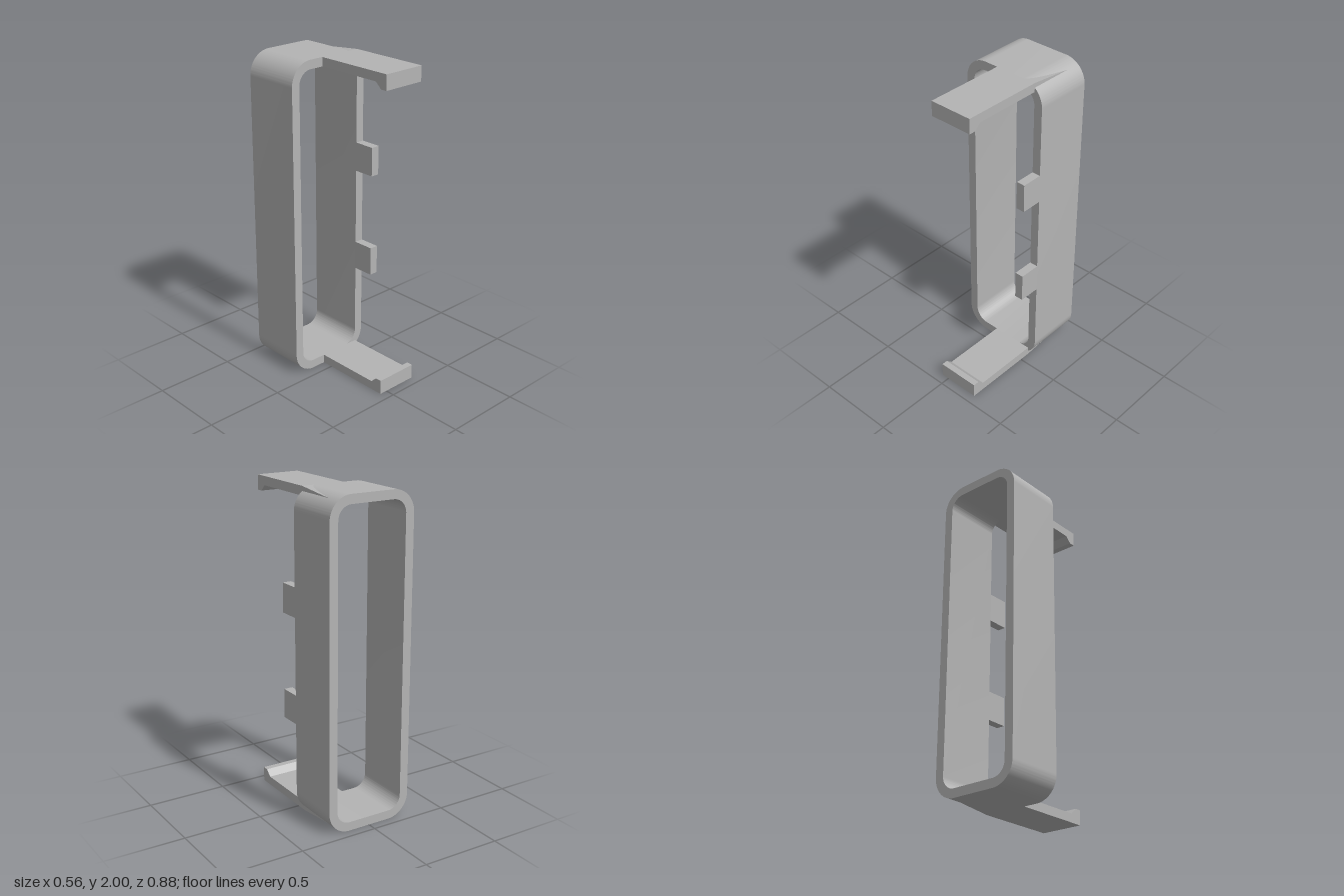
import * as THREE from 'three';
import { toCreasedNormals } from 'three/addons/utils/BufferGeometryUtils.js';

const HALF_W = 0.28, HEIGHT = 2, WALL = 0.055, CORNER = 0.14;
const BACK = -0.44, RIM = -0.07, FRONT = 0.44;
const ARM_LEFT = 0.225, ARM_RIGHT = -0.05;

// Traces a rounded rectangle, inset from the outer outline of the band
function roundedRect(path, inset) {
  const x = HALF_W - inset, y0 = inset, y1 = HEIGHT - inset, r = CORNER - inset;
  path.moveTo(-x + r, y0);
  path.lineTo(x - r, y0);
  path.absarc(x - r, y0 + r, r, -Math.PI / 2, 0);
  path.lineTo(x, y1 - r);
  path.absarc(x - r, y1 - r, r, 0, Math.PI / 2);
  path.lineTo(-x + r, y1);
  path.absarc(-x + r, y1 - r, r, Math.PI / 2, Math.PI);
  path.lineTo(-x, y0 + r);
  path.absarc(-x + r, y0 + r, r, Math.PI, Math.PI * 1.5);
  return path;
}

export function createModel() {
  const group = new THREE.Group();
  const grey = new THREE.MeshStandardMaterial({ color: 0xb4b4b4 });
  grey.name = 'grey plastic';

  const add = (name, geometry) => {
    const mesh = new THREE.Mesh(geometry, grey);
    mesh.name = name;
    group.add(mesh);
    return mesh;
  };

  // Tall open band with rounded corners
  const outline = roundedRect(new THREE.Shape(), 0);
  outline.holes.push(roundedRect(new THREE.Path(), WALL));
  const band = new THREE.ExtrudeGeometry(outline, {
    depth: RIM - BACK, bevelEnabled: false, curveSegments: 16,
  });
  band.translate(0, 0, BACK);
  add('band', toCreasedNormals(band, 0.5));

  // Clip arms: side profile as (z, distance in from the end), hook in front,
  // tapered tail blending into the rounded corner behind
  const profile = [
    [FRONT, 0], [RIM, 0], [-0.35, 0.029], [-0.35, 0.045], [RIM, 0.045],
    [RIM, WALL], [0.36, WALL], [0.4, 0.092], [FRONT, 0.092],
  ];
  for (const top of [true, false]) {
    const shape = new THREE.Shape(
      profile.map(([z, d]) => new THREE.Vector2(z, top ? HEIGHT - d : d)));
    const arm = new THREE.ExtrudeGeometry(shape, {
      depth: ARM_LEFT - ARM_RIGHT, bevelEnabled: false,
    });
    arm.rotateY(-Math.PI / 2).translate(ARM_LEFT, 0, 0);
    add(top ? 'topClipArm' : 'bottomClipArm', arm);
  }

  // Two locating tabs on the left wall
  const tabLength = 0.135;
  for (const [name, y] of [['upperTab', 1.333], ['lowerTab', 0.673]]) {
    add(name, new THREE.BoxGeometry(WALL, 0.182, tabLength))
      .position.set(HALF_W - WALL / 2, y, RIM + tabLength / 2);
  }

  return group;
}
